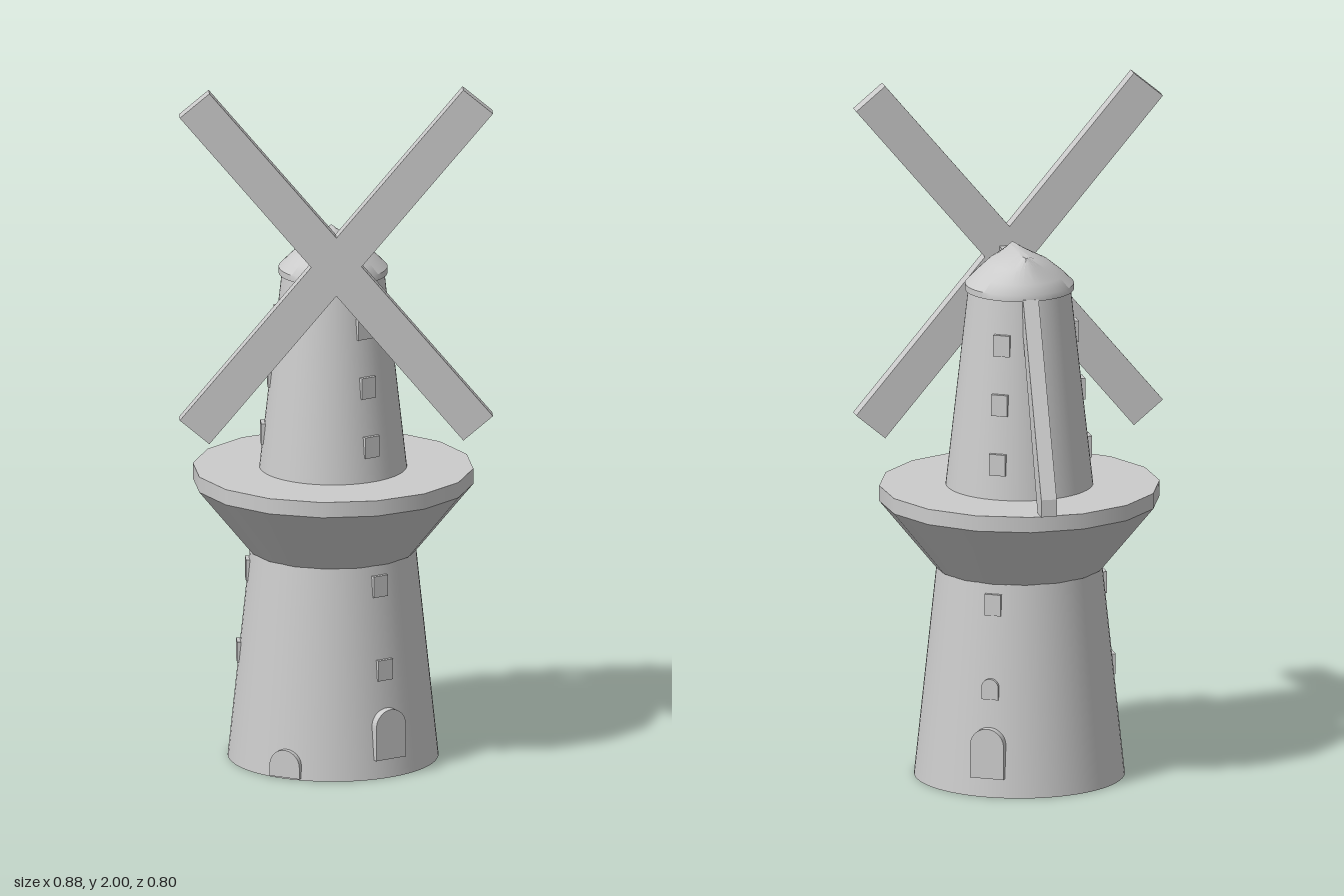
import * as THREE from 'three';
import { toCreasedNormals } from 'three/addons/utils/BufferGeometryUtils.js';

const DEG = Math.PI / 180;
const material = new THREE.MeshStandardMaterial({ color: 0xcccccc });

function add(parent, name, geometry, x = 0, y = 0, z = 0) {
  const mesh = new THREE.Mesh(geometry, material);
  mesh.name = name;
  mesh.position.set(x, y, z);
  parent.add(mesh);
  return mesh;
}

// Tapered round section between two heights
function frustum(parent, name, y0, r0, y1, r1, sides = 64) {
  return add(parent, name, new THREE.CylinderGeometry(r1, r0, y1 - y0, sides), 0, (y0 + y1) / 2, 0);
}

// Wall radius at a given height
const wallRadius = (y) => (y < 0.61 ? 0.3 - 0.105 * y : 0.21 - 0.112 * (y - 0.85));

// Upright panel set into the sloping wall at an azimuth, square or arched on top
function panel(parent, name, azimuth, y, width, height, arched, proud = 0.004) {
  const w = width / 2;
  const shape = new THREE.Shape();
  shape.moveTo(-w, 0);
  shape.lineTo(w, 0);
  if (arched) {
    shape.lineTo(w, height - w);
    shape.absarc(0, height - w, w, 0, Math.PI, false);
  } else {
    shape.lineTo(w, height);
    shape.lineTo(-w, height);
  }
  const depth = 0.03;
  const geometry = new THREE.ExtrudeGeometry(shape, { depth, bevelEnabled: false, curveSegments: 10 });
  geometry.translate(0, y, wallRadius(y) + proud - depth);
  add(parent, name, geometry).rotation.y = azimuth * DEG;
}

// Closed loft through elliptical rings [y, halfWidth, halfDepth]
function loft(rings, sides) {
  const positions = [], index = [];
  for (const [y, u, d] of rings) {
    for (let i = 0; i < sides; i++) {
      const t = (i / sides) * Math.PI * 2;
      positions.push(Math.sin(t) * u, y, Math.cos(t) * d);
    }
  }
  for (let r = 0; r < rings.length - 1; r++) {
    for (let i = 0; i < sides; i++) {
      const j = (i + 1) % sides;
      const a = r * sides + i, b = r * sides + j;
      index.push(a, b, a + sides, b, b + sides, a + sides);
    }
  }
  const top = (rings.length - 1) * sides;
  positions.push(0, rings[rings.length - 1][0], 0);
  for (let i = 0; i < sides; i++) index.push(top + i, top + ((i + 1) % sides), top + sides);
  const geometry = new THREE.BufferGeometry();
  geometry.setAttribute('position', new THREE.Float32BufferAttribute(positions, 3));
  geometry.setIndex(index);
  return toCreasedNormals(geometry, 40 * DEG);
}

export function createModel() {
  const model = new THREE.Group();
  model.name = 'windmill';
  const mill = new THREE.Group();
  mill.name = 'mill';
  mill.position.x = 0.04;
  model.add(mill);

  // Tower and gallery
  frustum(mill, 'lowerTower', 0, 0.3, 0.62, 0.235);
  frustum(mill, 'gallerySupport', 0.61, 0.24, 0.805, 0.4, 16);
  frustum(mill, 'galleryDeck', 0.805, 0.4, 0.85, 0.4, 16);
  frustum(mill, 'upperTower', 0.84, 0.211, 1.43, 0.145);

  // Three columns of windows
  for (const azimuth of [15, 135, 255]) {
    for (const y of [0.92, 1.09, 1.26]) panel(mill, 'upperWindow', azimuth, y, 0.048, 0.062, false);
    panel(mill, 'lowerWindow', azimuth, 0.52, 0.048, 0.062, false);
    panel(mill, 'middleWindow', azimuth, 0.28, 0.05, 0.06, azimuth === 135);
  }

  // Doorways
  for (const azimuth of [15, 135]) panel(mill, 'door', azimuth, 0.055, 0.1, 0.145, true, 0.008);
  panel(mill, 'smallDoor', -45, 0.005, 0.095, 0.08, true, 0.006);

  // Turned head carrying cap, sails and tail pole
  const head = new THREE.Group();
  head.name = 'head';
  head.rotation.y = -15 * DEG;
  mill.add(head);

  add(head, 'cap', loft([
    [1.42, 0.14, 0.14], [1.42, 0.155, 0.155], [1.438, 0.155, 0.155],
    [1.465, 0.128, 0.14], [1.5, 0.085, 0.12], [1.533, 0.012, 0.1],
  ], 48));

  // Sail cross on its axle
  add(head, 'axle', new THREE.BoxGeometry(0.06, 0.06, 0.12), 0, 1.483, 0.09);
  for (const side of [-1, 1]) {
    const sail = add(head, 'sailArm', new THREE.BoxGeometry(1.256, 0.11, 0.043), 0, 1.483, 0.155);
    sail.rotation.z = side * 50 * DEG;
  }

  // Tail pole from the cap down to the deck
  const pole = new THREE.Shape([
    [0.13, 1.425], [0.155, 1.425], [0.402, 0.9], [0.402, 0.85], [0.35, 0.85], [0.13, 1.38],
  ].map(([d, y]) => new THREE.Vector2(d, y)));
  const poleGeometry = new THREE.ExtrudeGeometry(pole, { depth: 0.045, bevelEnabled: false });
  poleGeometry.translate(0, 0, -0.0225);
  add(head, 'tailPole', poleGeometry).rotation.y = Math.PI / 2;

  return model;
}
